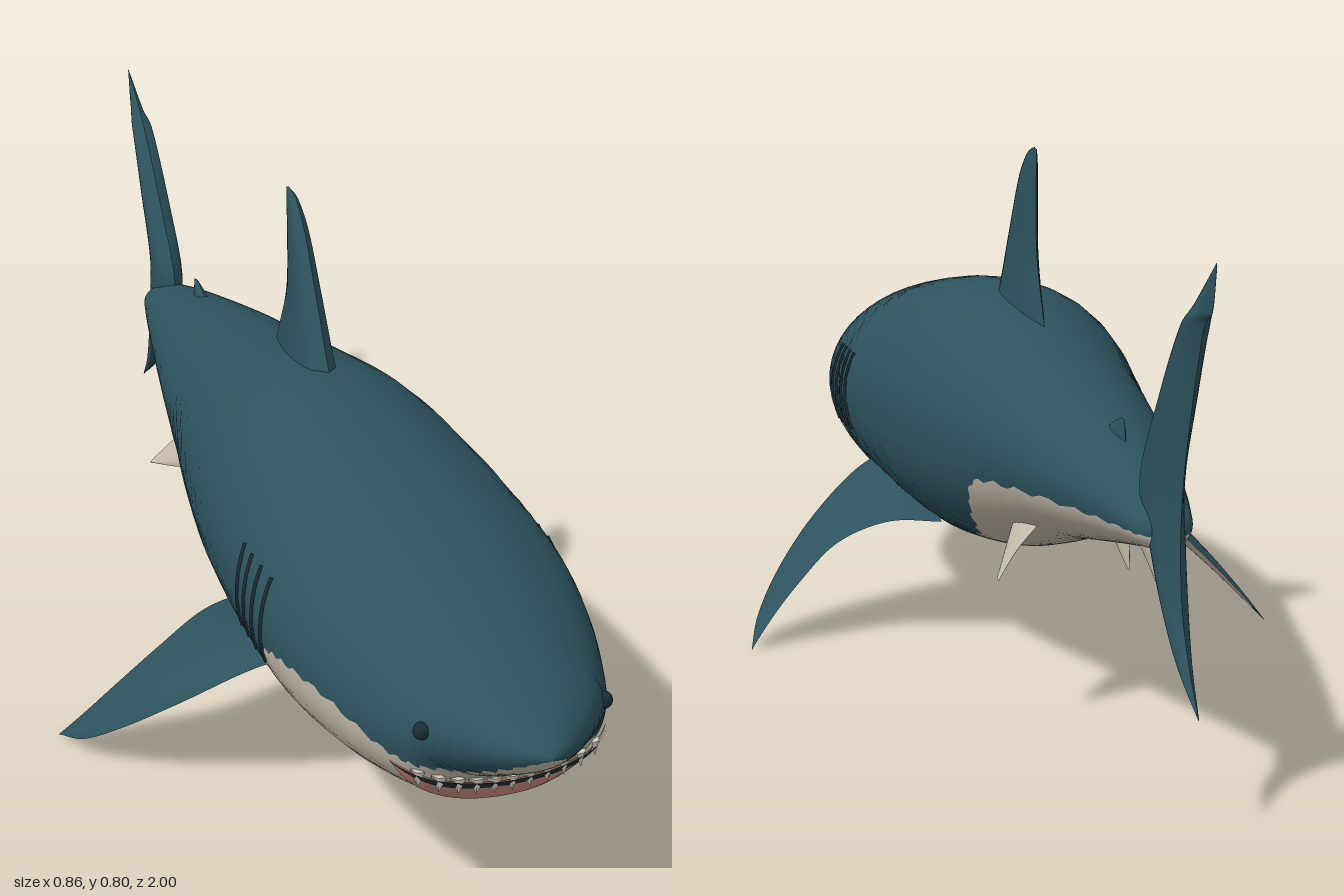
import * as THREE from 'three';

const V = (x, y, z) => new THREE.Vector3(x, y, z);
const material = (name, color) => Object.assign(new THREE.MeshStandardMaterial({ color }), { name });

// Body stations: z, top, bottom, half width, height of the colour line
const STATIONS = [
  [1.0, 0.385, 0.381, 0, 0.382], [0.985, 0.398, 0.366, 0.028, 0.372], [0.95, 0.415, 0.338, 0.066, 0.35],
  [0.9, 0.436, 0.307, 0.108, 0.322], [0.87, 0.447, 0.287, 0.13, 0.316], [0.845, 0.455, 0.247, 0.143, 0.318],
  [0.8, 0.468, 0.222, 0.164, 0.326], [0.7, 0.496, 0.197, 0.196, 0.345], [0.6, 0.52, 0.182, 0.217, 0.345],
  [0.53, 0.533, 0.174, 0.225, 0.335], [0.47, 0.542, 0.169, 0.227, 0.305], [0.41, 0.551, 0.164, 0.226, 0.235],
  [0.3, 0.563, 0.158, 0.221, 0.2], [0.15, 0.571, 0.155, 0.209, 0.176], [0.04, 0.562, 0.165, 0.195, 0.184],
  [-0.08, 0.541, 0.184, 0.175, 0.212], [-0.17, 0.524, 0.205, 0.158, 0.27], [-0.25, 0.508, 0.225, 0.145, 0.325],
  [-0.4, 0.48, 0.263, 0.119, 0.342], [-0.6, 0.437, 0.3, 0.08, 0.352], [-0.73, 0.404, 0.322, 0.052, 0.354],
  [-0.79, 0.382, 0.332, 0.034, 0.352], [-0.812, 0.356, 0.35, 0, 0.352],
];

// Smooth body section at t in 0..1, nose to tail
function section(t) {
  const n = STATIONS.length - 1, i = Math.min(n - 1, Math.floor(t * n)), f = t * n - i;
  const row = k => STATIONS[THREE.MathUtils.clamp(k, 0, n)];
  const [z, top, bottom, w, line] = row(i).map((b, k) => {
    const a = row(i - 1)[k], c = row(i + 1)[k], d = row(i + 2)[k];
    return b + 0.5 * f * (c - a + f * (2 * a - 5 * b + 4 * c - d + f * (3 * (b - c) + d - a)));
  });
  return { z, w: Math.max(0, w), c: (top + bottom) / 2, h: Math.max(0.001, (top - bottom) / 2), line };
}

// First section, coming from the nose, that passes a test
function findSection(test) {
  for (let t = 0; t < 1; t += 0.0005) {
    const s = section(t);
    if (test(s)) return s;
  }
  return section(1);
}
const frontZ = (x, y) => findSection(s => s.w > 0 && (x / s.w) ** 2 + ((y - s.c) / s.h) ** 2 <= 1).z;

function geometryFrom(positions, index) {
  const g = new THREE.BufferGeometry();
  g.setAttribute('position', new THREE.Float32BufferAttribute(positions, 3));
  g.setIndex(index);
  g.computeVertexNormals();
  return g;
}

// Lofted body whose rings share a vertex on the colour line
function bodyGeometry() {
  const rings = 150, nu = 26, nl = 22, n = nu + nl, pos = [], upper = [], lower = [];
  for (let i = 0; i <= rings; i++) {
    const s = section(i / rings);
    const line = s.line + 0.004 * Math.sin(i * 1.9) * Math.min(1, s.w / 0.1);
    const a0 = Math.asin(THREE.MathUtils.clamp((line - s.c) / s.h, -0.97, 0.97));
    for (let j = 0; j < n; j++) {
      const a = j < nu ? a0 + (Math.PI - 2 * a0) * j / nu
        : Math.PI - a0 + (Math.PI + 2 * a0) * (j - nu) / nl;
      pos.push(s.w * Math.cos(a), s.c + s.h * Math.sin(a), s.z);
    }
  }
  for (let i = 0; i < rings; i++) for (let j = 0; j < n; j++) {
    const a = i * n + j, b = i * n + (j + 1) % n, c = a + n, d = b + n;
    (j < nu ? upper : lower).push(a, c, b, b, c, d);
  }
  const g = geometryFrom(pos, [...upper, ...lower]);
  g.addGroup(0, upper.length, 0);
  g.addGroup(upper.length, lower.length, 1);
  return g;
}

// Fin lofted between a leading and a trailing edge; one face per side of dir
function makeFin(name, lead, trail, dir, thickness, mats, tipFrom = 2) {
  const group = new THREE.Group();
  group.name = name;
  const lc = new THREE.CatmullRomCurve3(lead), tc = new THREE.CatmullRomCurve3(trail);
  const S = 32, U = 10, mid = 0.4;
  const span = lc.getPoint(mid + 0.05).sub(lc.getPoint(mid));
  const facing = tc.getPoint(mid).sub(lc.getPoint(mid)).cross(span).dot(dir) > 0;
  [1, -1].forEach((side, k) => {
    const pos = [], main = [], tip = [];
    for (let i = 0; i <= S; i++) for (let j = 0; j <= U; j++) {
      const s = i / S, u = j / U;
      const bulge = side * thickness(s) * 2.6 * Math.sqrt(u) * (1 - u);
      pos.push(...lc.getPoint(s).lerp(tc.getPoint(s), u).addScaledVector(dir, bulge).toArray());
    }
    for (let i = 0; i < S; i++) for (let j = 0; j < U; j++) {
      const a = i * (U + 1) + j, b = a + 1, c = a + U + 1, d = c + 1;
      const out = i / S >= tipFrom ? tip : main;
      out.push(...(facing === (side > 0) ? [a, b, c, b, d, c] : [a, c, b, b, c, d]));
    }
    const g = geometryFrom(pos, [...main, ...tip]);
    g.addGroup(0, main.length, 0);
    g.addGroup(main.length, tip.length, 1);
    const mesh = new THREE.Mesh(g, [mats[k], mats[0]]);
    mesh.name = name + (k ? 'SideB' : 'SideA');
    group.add(mesh);
  });
  return group;
}

// Band of the mouth laid on the front of the head, between two height fractions
function mouthBand(f0, f1, lift) {
  const nx = 40, ny = 6, pos = [], index = [];
  for (let i = 0; i <= nx; i++) for (let j = 0; j <= ny; j++) {
    const u = i / nx * 2 - 1, f = f0 + (f1 - f0) * j / ny, x = 0.152 * u;
    const y = THREE.MathUtils.lerp(0.248 + 0.067 * u ** 4, 0.287 + 0.028 * u * u, f);
    pos.push(x * (1 + lift * 3), y, frontZ(x, y) + lift);
  }
  for (let i = 0; i < nx; i++) for (let j = 0; j < ny; j++) {
    const a = i * (ny + 1) + j, b = a + 1, c = a + ny + 1, d = c + 1;
    index.push(a, c, b, b, c, d);
  }
  return geometryFrom(pos, index);
}

export function createModel() {
  const model = new THREE.Group();
  model.name = 'shark';
  const teal = material('tealSkin', 0x2d535e);
  const cream = material('creamBelly', 0xc3b9a9);
  const pink = material('pinkGums', 0xc98b7c);
  const dark = material('darkDetail', 0x1a2e35);
  const ivory = material('ivoryTeeth', 0xd0c8ba);
  pink.side = THREE.DoubleSide;
  const add = (name, geometry, mat) => {
    const mesh = new THREE.Mesh(geometry, mat);
    mesh.name = name;
    model.add(mesh);
    return mesh;
  };
  add('body', bodyGeometry(), [teal, cream]);

  // Mouth and teeth
  add('gums', mouthBand(0, 1, 0.007), pink);
  add('mouthOpening', mouthBand(0.72, 0.98, 0.01), dark);
  for (let i = -5; i <= 5; i++) {
    const u = i / 6.2, x = 0.152 * u, y = 0.279 + 0.028 * u * u;
    const tooth = add('tooth', new THREE.ConeGeometry(0.011, 0.024, 4), ivory);
    tooth.position.set(x * 1.03, y, frontZ(x, y) + 0.009);
    tooth.rotation.set(Math.PI, -u * 0.9, 0);
    tooth.scale.z = 0.5;
  }

  // Fins on the centre line
  const X = V(1, 0, 0), P = (...zy) => zy.map(([z, y]) => V(0, y, z));
  model.add(makeFin('dorsalFin',
    P([0.17, 0.53], [0.13, 0.575], [0.075, 0.665], [0.01, 0.765], [-0.03, 0.797], [-0.06, 0.803]),
    P([-0.13, 0.52], [-0.105, 0.565], [-0.073, 0.63], [-0.064, 0.71], [-0.068, 0.77], [-0.07, 0.8]),
    X, s => 0.03 * (1 - s) + 0.001, [teal, teal]));
  model.add(makeFin('secondDorsalFin',
    P([-0.49, 0.44], [-0.54, 0.46], [-0.572, 0.47]), P([-0.6, 0.42], [-0.59, 0.445], [-0.585, 0.468]),
    X, s => 0.012 * (1 - s) + 0.001, [teal, teal]));
  model.add(makeFin('tailFin',
    P([-1, 0.73], [-0.925, 0.672], [-0.895, 0.645], [-0.8, 0.535], [-0.71, 0.405], [-0.76, 0.345],
      [-0.815, 0.265], [-0.87, 0.197], [-0.945, 0.145]),
    P([-1, 0.725], [-0.983, 0.666], [-0.955, 0.65], [-0.902, 0.535], [-0.867, 0.43], [-0.858, 0.35],
      [-0.867, 0.27], [-0.9, 0.203], [-0.945, 0.145]),
    X, s => 0.024 * Math.sin(Math.PI * s) + 0.0005, [teal, teal]));
  model.add(makeFin('tailKeel',
    P([-0.7, 0.345], [-0.75, 0.305], [-0.79, 0.262]), P([-0.82, 0.345], [-0.808, 0.3], [-0.795, 0.26]),
    X, s => 0.026 * (1 - s) + 0.002, [cream, cream]));
  model.add(makeFin('analFin',
    P([-0.53, 0.31], [-0.57, 0.285], [-0.605, 0.265]), P([-0.62, 0.315], [-0.615, 0.29], [-0.617, 0.266]),
    X, s => 0.01 * (1 - s) + 0.001, [cream, cream]));

  // Paired parts
  for (const side of [1, -1]) {
    const label = side > 0 ? 'left' : 'right';
    const M = (...pts) => pts.map(([x, y, z]) => V(side * x, y, z));
    model.add(makeFin(label + 'PectoralFin',
      M([0.12, 0.265, 0.42], [0.2, 0.23, 0.385], [0.295, 0.155, 0.32], [0.365, 0.085, 0.245], [0.408, 0.032, 0.17], [0.428, 0, 0.09]),
      M([0.12, 0.195, 0.08], [0.2, 0.192, 0.115], [0.28, 0.155, 0.142], [0.345, 0.095, 0.13], [0.39, 0.046, 0.113], [0.428, 0, 0.09]),
      V(side * 0.6, 0.8, 0), s => 0.021 * (1 - s) + 0.0005, [teal, cream], 0.88));
    model.add(makeFin(label + 'PelvicFin',
      M([0.07, 0.275, -0.25], [0.1, 0.238, -0.31], [0.137, 0.212, -0.4]),
      M([0.07, 0.285, -0.38], [0.105, 0.25, -0.39], [0.137, 0.21, -0.408]),
      V(side * 0.8, 0.6, 0), s => 0.012 * (1 - s) + 0.001, [cream, cream]));

    // Eye
    const eye = add(label + 'Eye', new THREE.SphereGeometry(0.012, 16, 12), dark);
    eye.position.set(side * 0.128, 0.378, frontZ(0.128, 0.378) - 0.002);

    // Gill slits
    for (const z of [0.49, 0.45, 0.41, 0.375]) {
      const s = findSection(q => q.z <= z), pts = [];
      for (let k = 0; k <= 6; k++) {
        const y = 0.3 + 0.13 * k / 6, a = Math.asin((y - s.c) / s.h);
        pts.push(V(side * s.w * Math.cos(a), y, z + 0.008 * Math.sin(Math.PI * k / 6)));
      }
      add(label + 'GillSlit', new THREE.TubeGeometry(new THREE.CatmullRomCurve3(pts), 16, 0.0035, 6), dark);
    }
  }
  return model;
}
